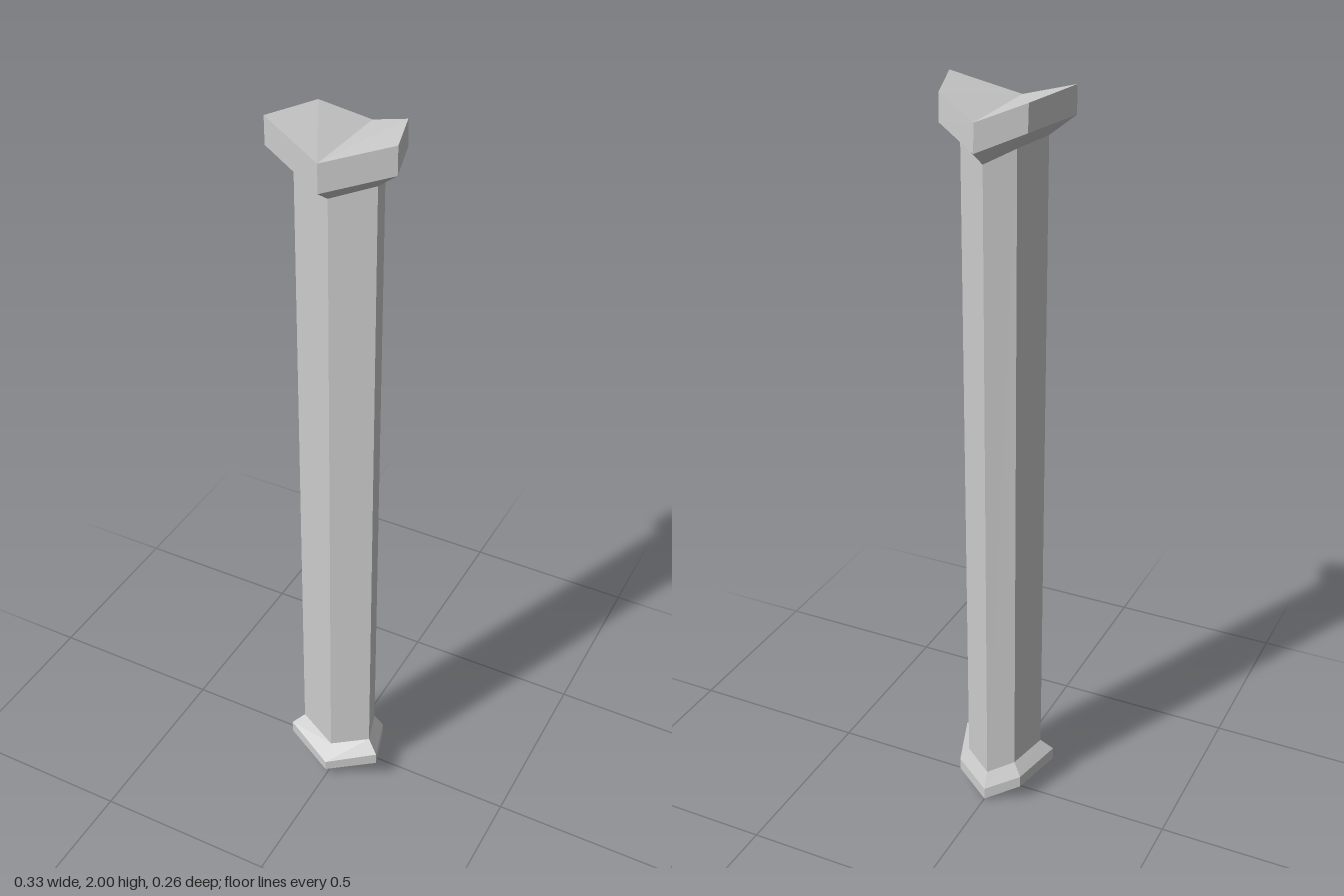
import * as THREE from 'three';

// Six-sided mirrored ring from its half: front, side, back side and back corners [x, y, z]
function ring(front, side, backSide, back) {
  const mirror = ([x, y, z]) => [-x, y, z];
  return [front, side, backSide, back, mirror(backSide), mirror(side)];
}

// Skin a stack of rings (bottom to top), optionally closing either end
function loft(name, rings, material, closeBottom, closeTop) {
  const pos = [];
  const tri = (a, b, c) => pos.push(...a, ...b, ...c);
  for (let r = 0; r < rings.length - 1; r++) {
    const lo = rings[r], hi = rings[r + 1];
    for (let i = 0; i < 6; i++) {
      const j = (i + 1) % 6;
      tri(lo[i], lo[j], hi[j]);
      tri(lo[i], hi[j], hi[i]);
    }
  }
  // End faces fold along the centre line
  const bottom = rings[0], top = rings[rings.length - 1];
  for (let i = 1; i < 5; i++) {
    if (closeBottom) tri(bottom[0], bottom[i + 1], bottom[i]);
    if (closeTop) tri(top[0], top[i], top[i + 1]);
  }
  const geometry = new THREE.BufferGeometry();
  geometry.setAttribute('position', new THREE.Float32BufferAttribute(pos, 3));
  geometry.computeVertexNormals();
  const mesh = new THREE.Mesh(geometry, material);
  mesh.name = name;
  return mesh;
}

export function createModel() {
  const group = new THREE.Group();
  group.name = 'post';
  const material = new THREE.MeshStandardMaterial({ color: 0xcccccc, flatShading: true });

  // Foot: folded underside, short band, then a slope in to the shaft
  const footBottom = ring([0, 0.025, 0.127], [0.137, 0.07, 0.074], [0.094, 0.05, -0.058], [0, 0, -0.095]);
  const footBand = ring([0, 0.055, 0.127], [0.137, 0.105, 0.074], [0.094, 0.083, -0.058], [0, 0.035, -0.095]);
  const shaftBottom = ring([0, 0.1, 0.092], [0.105, 0.137, 0.056], [0.071, 0.12, -0.047], [0, 0.082, -0.076]);

  // Capital: slope out from the shaft, band, then the folded top
  const shaftTop = ring([0, 1.843, 0.085], [0.105, 1.882, 0.049], [0.072, 1.873, -0.055], [0, 1.835, -0.086]);
  const capBand = ring([0, 1.875, 0.131], [0.163, 1.93, 0.073], [0.112, 1.92, -0.085], [0, 1.872, -0.134]);
  const capTop = ring([0, 1.947, 0.131], [0.163, 2, 0.073], [0.112, 1.987, -0.082], [0, 1.942, -0.131]);

  group.add(
    loft('foot', [footBottom, footBand, shaftBottom], material, true, false),
    loft('shaft', [shaftBottom, shaftTop], material, false, false),
    loft('capital', [shaftTop, capBand, capTop], material, false, true)
  );
  return group;
}
